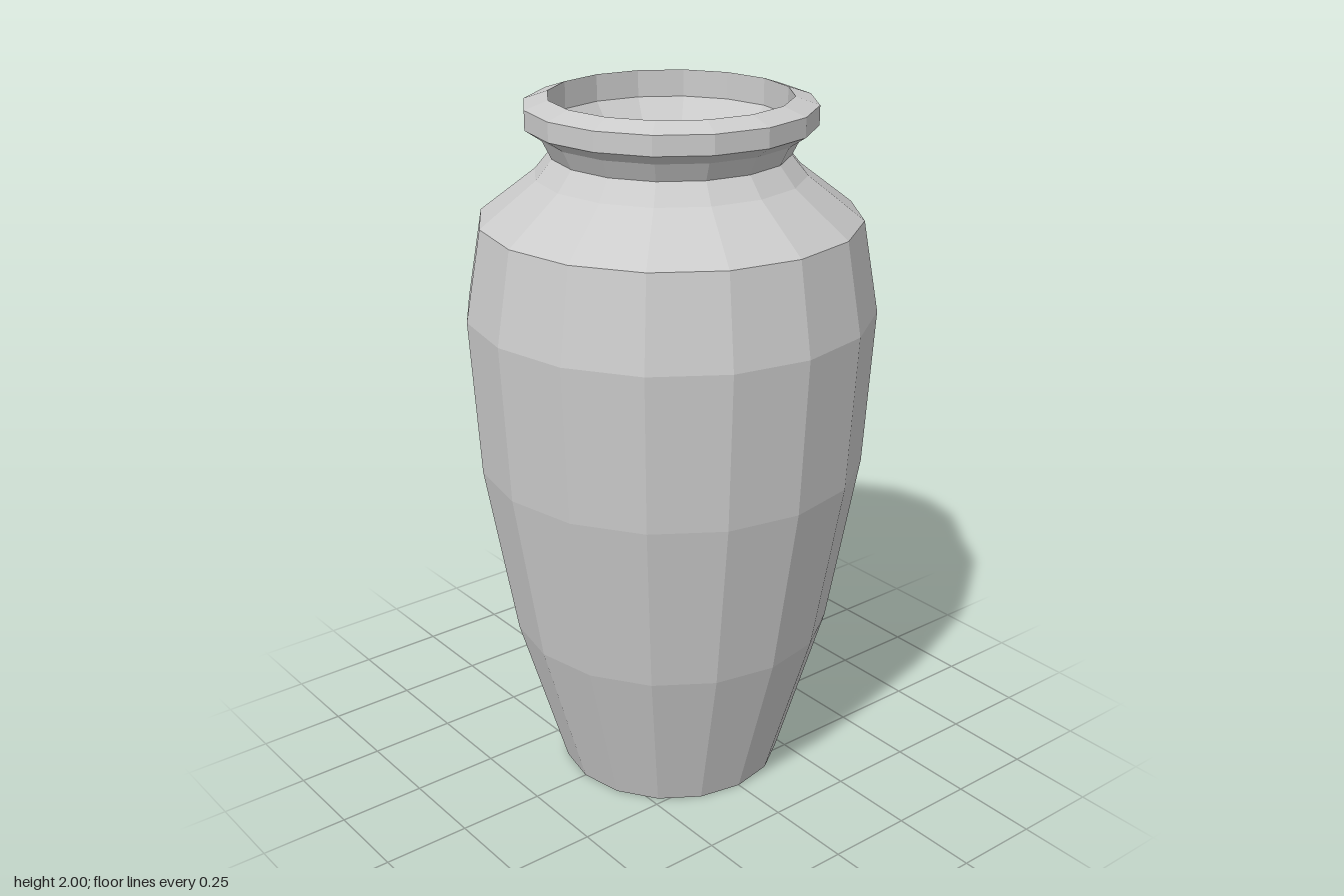
import * as THREE from 'three';

const SIDES = 16;

// Revolve [radius, height] points into a faceted ring of surfaces
function turned(name, points, material) {
  const profile = points.map(([r, y]) => new THREE.Vector2(r, y));
  const mesh = new THREE.Mesh(new THREE.LatheGeometry(profile, SIDES), material);
  mesh.name = name;
  return mesh;
}

export function createModel() {
  const group = new THREE.Group();
  group.name = 'vase';
  const clay = new THREE.MeshStandardMaterial({ color: 0xcccccc, flatShading: true });

  // Outer body: foot, belly and shoulder up to the neck
  group.add(turned('body', [
    [0, 0], [0.325, 0], [0.46, 0.465], [0.545, 0.97],
    [0.57, 1.415], [0.525, 1.67], [0.37, 1.79], [0.325, 1.845],
  ], clay));

  // Flared neck and bevelled lip, turning over into the mouth
  group.add(turned('lip', [
    [0.325, 1.845], [0.35, 1.895], [0.395, 1.925], [0.395, 1.978],
    [0.33, 2], [0.33, 1.925], [0.27, 1.845],
  ], clay));

  // Hollow interior, from the neck down to the floor
  group.add(turned('interior', [
    [0.27, 1.845], [0.325, 1.755], [0.475, 1.635], [0.515, 1.415],
    [0.49, 0.97], [0.405, 0.465], [0.285, 0.055], [0, 0.055],
  ], clay));

  return group;
}
